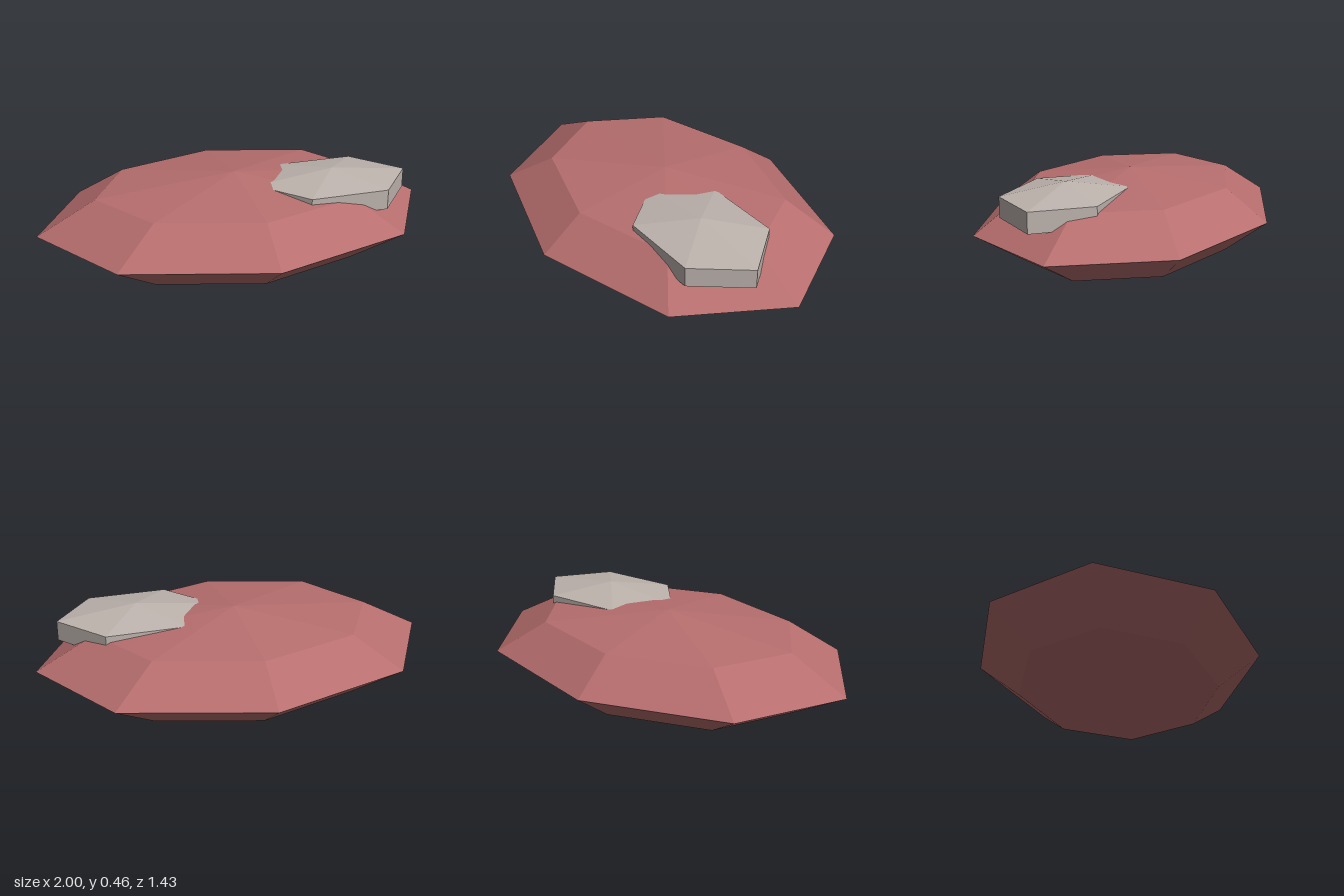
import * as THREE from 'three';

const stoneRed = new THREE.MeshStandardMaterial({ name: 'dusty red', color: 0xb76e6e });
const stoneGrey = new THREE.MeshStandardMaterial({ name: 'warm grey', color: 0xbdb3ad });

// A squashed low-poly sphere with flat facets
function pebble(name, material, sides, rings, radii, centre) {
  const geometry = new THREE.SphereGeometry(1, sides, rings).scale(...radii).toNonIndexed();
  geometry.computeVertexNormals();
  const mesh = new THREE.Mesh(geometry, material);
  mesh.name = name;
  mesh.position.set(...centre);
  return mesh;
}

export function createModel() {
  const model = new THREE.Group();
  model.name = 'flatStones';

  // Wide eight-sided stone
  model.add(pebble('baseStone', stoneRed, 8, 4, [1, 0.223, 0.715], [0, 0.223, 0]));

  // Small six-sided stone sunk into its top
  model.add(pebble('topStone', stoneGrey, 6, 3, [0.46, 0.1, 0.327], [0.468, 0.363, 0.14]));

  return model;
}
